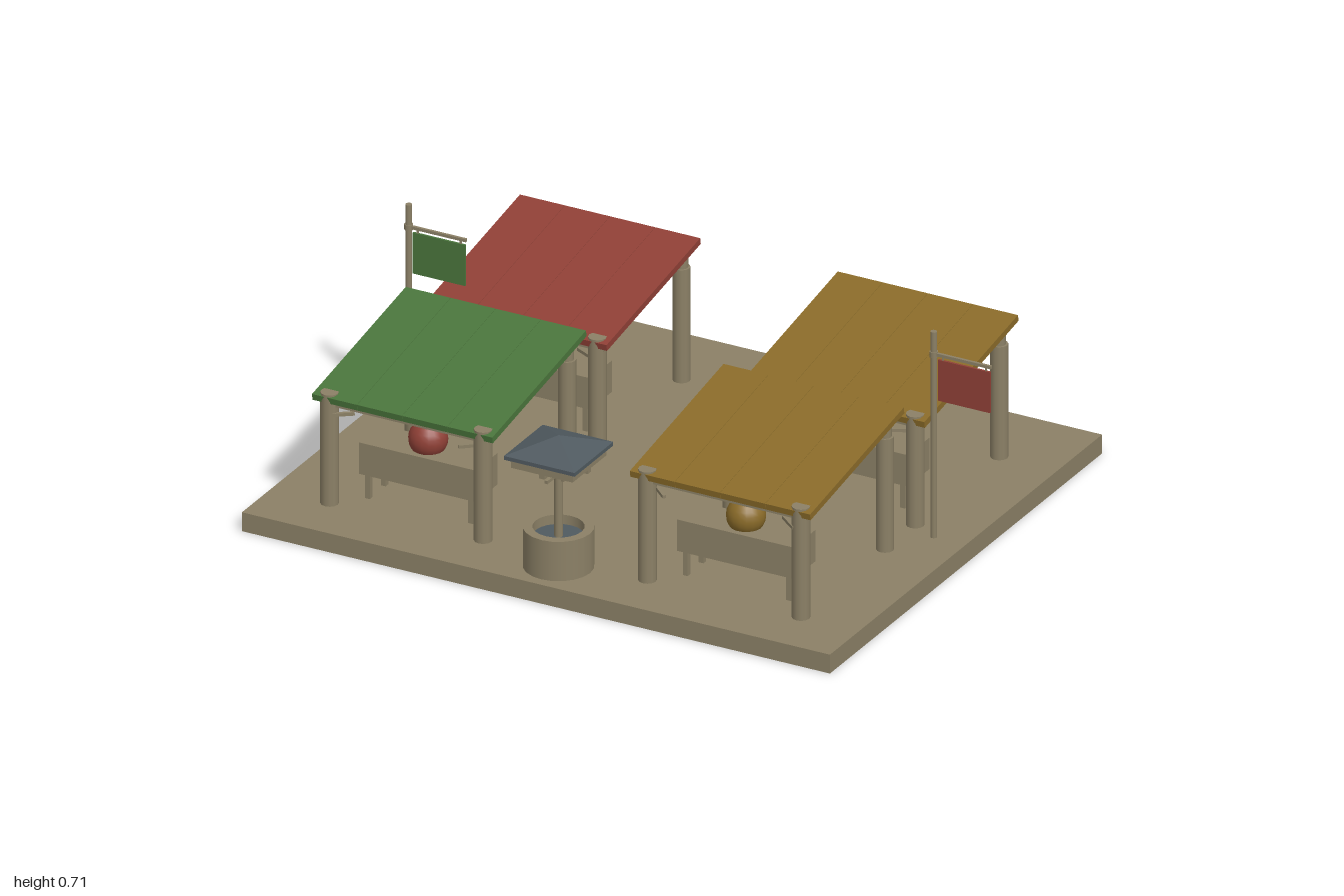
import * as THREE from 'three';

const mat = (name, color) => {
  const m = new THREE.MeshStandardMaterial({ color });
  m.name = name;
  return m;
};

export function createModel() {
  const wood = mat('weathered wood', 0x8b8066);
  const red = mat('red', 0x8f4036);
  const green = mat('green', 0x4a753c);
  const amber = mat('amber', 0x8a6b29);
  const slate = mat('slate', 0x505a60);
  const root = new THREE.Group();
  root.name = 'marketSquare';

  const add = (parent, name, geo, material, x = 0, y = 0, z = 0) => {
    const m = new THREE.Mesh(geo, material);
    m.name = name;
    m.position.set(x, y, z);
    parent.add(m);
    return m;
  };
  const box = (p, name, material, w, h, d, x, y, z) =>
    add(p, name, new THREE.BoxGeometry(w, h, d), material, x, y, z);
  // upright round post from y0 to y1
  const post = (p, name, r, y0, y1, x, z, sides = 12) =>
    add(p, name, new THREE.CylinderGeometry(r, r, y1 - y0, sides), wood, x, (y0 + y1) / 2, z);
  // square bar between two points
  const bar = (p, name, a, b, t) => {
    const from = new THREE.Vector3(...a), to = new THREE.Vector3(...b);
    const m = box(p, name, wood, t, t, from.distanceTo(to), 0, 0, 0);
    m.position.copy(from).add(to).multiplyScalar(0.5);
    m.lookAt(to);
    return m;
  };

  const base = 0.06;
  box(root, 'ground', wood, 1.915, base, 1.62, -0.0425, base / 2, 0);

  // Market stall: four posts, sloping plank roof, counter with a round fruit
  const slope = Math.atan2(0.1, 0.56);
  const stall = (name, x, z, roofColor, fruitColor) => {
    const g = new THREE.Group();
    g.name = name;
    g.position.set(x, 0, z);
    root.add(g);

    const roof = new THREE.Group();
    roof.name = 'roof';
    roof.position.y = 0.447;
    roof.rotation.x = slope;
    g.add(roof);
    const planks = 4, w = 0.588 / planks;
    for (let i = 0; i < planks; i++) {
      box(roof, 'roofPlank', roofColor, w - 0.001, 0.02, 0.567, (i - (planks - 1) / 2) * w, 0, 0);
    }
    for (const s of [-1, 1]) {
      box(roof, 'rafter', wood, 0.018, 0.016, 0.52, s * 0.25, -0.018, 0);
    }

    for (const s of [-1, 1]) {
      post(g, 'frontPost', 0.027, base, 0.414, s * 0.25, 0.255);
      post(g, 'backPost', 0.026, base, 0.42, s * 0.25, -0.245);
      post(g, 'backPostTop', 0.02, 0.42, 0.48, s * 0.25, -0.245);
      bar(g, 'frontBrace', [s * 0.235, 0.325, 0.255], [s * 0.185, 0.378, 0.255], 0.01);
      bar(g, 'backBrace', [s * 0.235, 0.405, -0.245], [s * 0.185, 0.46, -0.245], 0.01);
    }
    box(g, 'frontBeam', wood, 0.55, 0.016, 0.02, 0, 0.382, 0.255);
    box(g, 'backBeam', wood, 0.55, 0.016, 0.02, 0, 0.468, -0.245);

    box(g, 'counter', wood, 0.38, 0.1, 0.13, 0, 0.188, 0.125);
    for (const sx of [-1, 1]) for (const sz of [-1, 1]) {
      box(g, 'counterLeg', wood, 0.016, 0.09, 0.016, sx * 0.168, 0.1, 0.125 + sz * 0.047);
    }
    add(g, 'fruit', new THREE.SphereGeometry(0.058, 18, 12), fruitColor, 0, 0.27, 0.125);
  };
  stall('frontRightStall', -0.56, 0.38, green, red);
  stall('backRightStall', -0.56, -0.3, red, red);
  stall('frontLeftStall', 0.475, 0.38, amber, amber);
  stall('backLeftStall', 0.475, -0.3, amber, amber);

  // Banner poles
  for (const [name, x, color] of [['rightBanner', -0.9, green], ['leftBanner', 0.81, red]]) {
    const g = new THREE.Group();
    g.name = name;
    g.position.x = x;
    root.add(g);
    post(g, 'pole', 0.01, base, 0.715, 0, 0, 10);
    post(g, 'poleCollar', 0.013, 0.635, 0.652, 0, 0, 10);
    box(g, 'crossbar', wood, 0.19, 0.009, 0.009, 0.093, 0.644, 0);
    box(g, 'banner', color, 0.17, 0.13, 0.007, 0.1, 0.564, 0);
    for (const dx of [0.03, 0.17]) box(g, 'bannerTie', wood, 0.005, 0.016, 0.005, dx, 0.635, 0);
  }

  // Well: hollow round wall, water, centre post and a small pyramid roof
  const well = new THREE.Group();
  well.name = 'well';
  well.position.set(-0.042, 0, 0.676);
  root.add(well);
  const wall = [[0.103, base], [0.103, 0.185], [0.075, 0.185], [0.075, base]]
    .map(([r, y]) => new THREE.Vector2(r, y));
  // split rings so that every edge stays sharp
  for (let i = 0; i < 3; i++) {
    add(well, 'wellWall', new THREE.LatheGeometry([wall[i + 1], wall[i]].reverse(), 20), wood);
  }
  add(well, 'water', new THREE.CylinderGeometry(0.075, 0.075, 0.01, 20), slate, 0, 0.15, 0);
  post(well, 'centrePost', 0.013, base, 0.44, 0, 0, 10);
  for (const [dx, dz] of [[1, 0], [-1, 0], [0, 1], [0, -1]]) {
    bar(well, 'roofBrace', [dx * 0.01, 0.33, dz * 0.01], [dx * 0.06, 0.382, dz * 0.06], 0.01);
    box(well, 'roofFrame', wood, dx ? 0.018 : 0.2, 0.022, dx ? 0.2 : 0.018,
      dx * 0.092, 0.402, dz * 0.092);
  }
  box(well, 'crossBeamWide', wood, 0.2, 0.02, 0.018, 0, 0.388, 0);
  box(well, 'crossBeamDeep', wood, 0.018, 0.02, 0.2, 0, 0.388, 0);
  box(well, 'roofEave', slate, 0.23, 0.012, 0.23, 0, 0.425, 0);
  const pyramid = new THREE.ConeGeometry(0.115 * Math.SQRT2, 0.044, 4, 1).toNonIndexed();
  pyramid.computeVertexNormals();
  pyramid.rotateY(Math.PI / 4);
  add(well, 'wellRoof', pyramid, slate, 0, 0.453, 0);

  return root;
}
